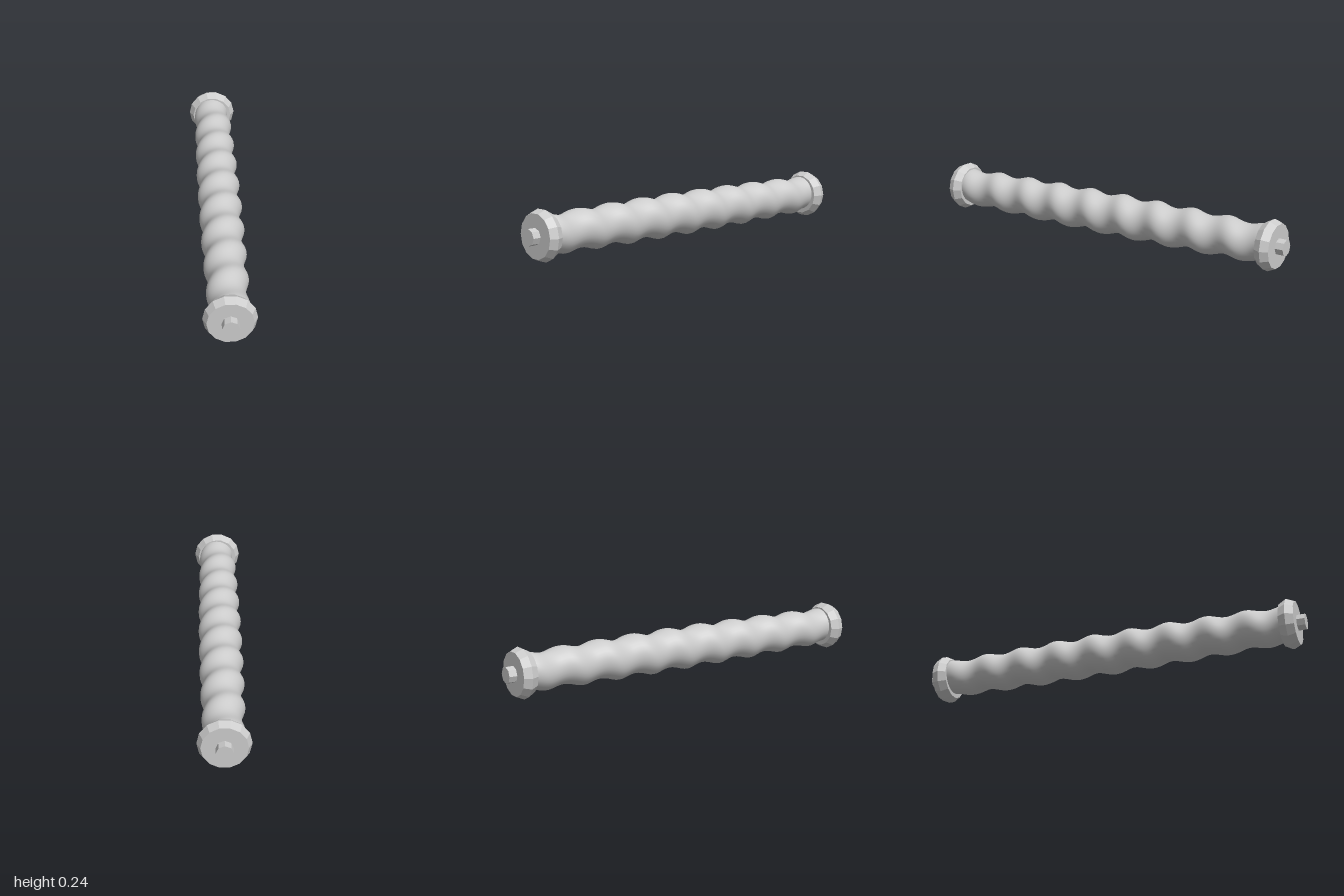
import * as THREE from 'three';
import { mergeVertices } from 'three/addons/utils/BufferGeometryUtils.js';

const CENTRE_Y = 0.121;

// Prism or cone frustum lying along z, with a corner pointing to +x
function frustum(rFront, rBack, zBack, zFront, sides, openEnded = false) {
  const geo = new THREE.CylinderGeometry(rFront, rBack, zFront - zBack, sides, 1, openEnded, Math.PI / 2);
  geo.rotateX(Math.PI / 2);
  geo.translate(0, 0, (zFront + zBack) / 2);
  return geo;
}

// Round bar whose section winds around the axis, slightly fuller in the middle
function twistedGeometry() {
  const half = 0.9, pitch = 0.2;
  let geo = new THREE.CylinderGeometry(1, 1, half * 2, 32, 180, true);
  geo.rotateX(Math.PI / 2);
  geo.deleteAttribute('normal');
  geo.deleteAttribute('uv');
  geo = mergeVertices(geo);
  const pos = geo.attributes.position;
  for (let i = 0; i < pos.count; i++) {
    const z = pos.getZ(i);
    const swell = 1 - (z / half) ** 2;
    const radius = 0.088 + 0.011 * swell;
    const offset = 0.008 + 0.002 * swell;
    const turn = Math.PI / 2 + ((z - 0.1) / pitch) * Math.PI * 2;
    pos.setXY(i,
      pos.getX(i) * radius + Math.cos(turn) * offset,
      pos.getY(i) * radius + Math.sin(turn) * offset);
  }
  geo.computeVertexNormals();
  return geo;
}

export function createModel() {
  const model = new THREE.Group();
  model.name = 'twistedRod';

  const metal = new THREE.MeshStandardMaterial({ color: 0xcccccc });
  metal.name = 'light grey';
  const facetedMetal = metal.clone();
  facetedMetal.flatShading = true;

  const body = new THREE.Group();
  body.name = 'body';
  body.position.y = CENTRE_Y;
  model.add(body);

  const add = (parent, name, geo, material) => {
    const mesh = new THREE.Mesh(geo, material);
    mesh.name = name;
    parent.add(mesh);
  };

  // Twisted bar
  add(body, 'twistedBar', twistedGeometry(), metal);

  // Bevelled collar and axle pin at each end
  for (const [name, angle] of [['frontEnd', 0], ['backEnd', Math.PI]]) {
    const end = new THREE.Group();
    end.name = name;
    end.rotation.y = angle;
    add(end, 'collarInner', frustum(0.124, 0.104, 0.885, 0.922, 14), facetedMetal);
    add(end, 'collarOuter', frustum(0.107, 0.124, 0.922, 0.96, 14), facetedMetal);
    add(end, 'axlePin', frustum(0.04, 0.04, 0.95, 1, 8), facetedMetal);
    body.add(end);
  }
  return model;
}
